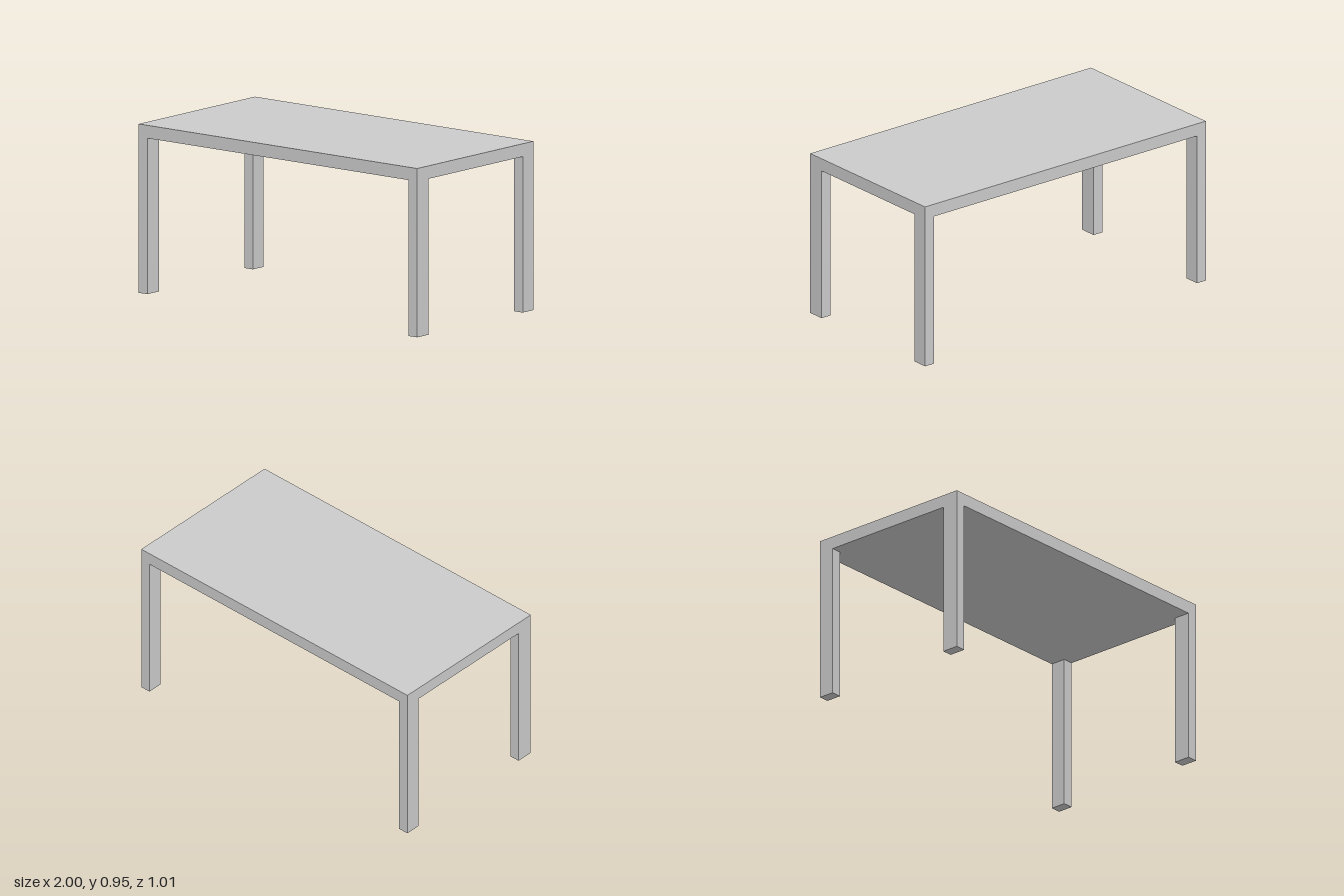
import * as THREE from 'three';

const WIDTH = 2, DEPTH = 1.01, HEIGHT = 0.953, TOP = 0.073;
const LEG_W = 0.062;

export function createModel() {
  const table = new THREE.Group();
  table.name = 'table';
  const material = new THREE.MeshStandardMaterial({ color: 0xcccccc, flatShading: true });

  const addBox = (name, w, h, d, x, y, z) => {
    const mesh = new THREE.Mesh(new THREE.BoxGeometry(w, h, d), material);
    mesh.name = name;
    mesh.position.set(x, y, z);
    table.add(mesh);
  };

  // Flat slab top
  addBox('tableTop', WIDTH, TOP, DEPTH, 0, HEIGHT - TOP / 2, 0);

  // Four legs flush with the corners; the front pair is slightly deeper
  const legH = HEIGHT - TOP;
  for (const [end, sz, legD] of [['front', 1, 0.1], ['back', -1, 0.092]]) {
    for (const [side, sx] of [['Left', 1], ['Right', -1]]) {
      addBox(`${end}${side}Leg`, LEG_W, legH, legD,
        sx * (WIDTH - LEG_W) / 2, legH / 2, sz * (DEPTH - legD) / 2);
    }
  }
  return table;
}
